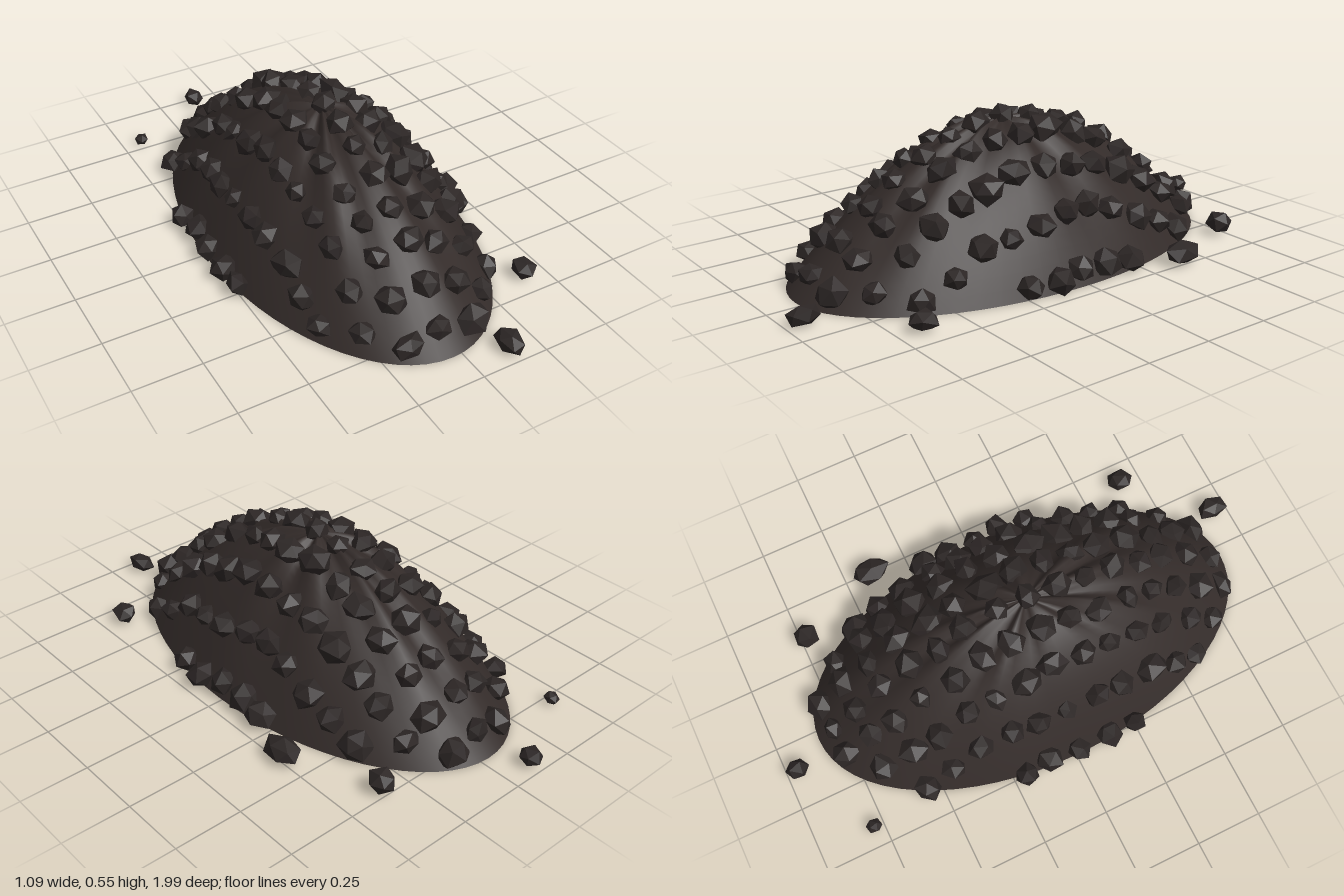
import * as THREE from 'three';
import { mergeVertices } from 'three/addons/utils/BufferGeometryUtils.js';

const CX = -0.035, CZ = 0.018, RX = 0.475, RZ = 0.86, HEIGHT = 0.5, STEP = 0.114;
const heapHeight = (r) => HEIGHT * (1 - Math.pow(r, 1.8));

let seed = 7;
function random() {
  seed = (seed * 16807) % 2147483647;
  return seed / 2147483647;
}
const spread = (amount) => (random() * 2 - 1) * amount;

// Faceted rock: an icosahedron with uneven, stretched corners, kept above the ground
function rockGeometry(rx, ry, rz, y) {
  const ico = new THREE.IcosahedronGeometry(1, 0);
  ico.deleteAttribute('uv');
  ico.deleteAttribute('normal');
  const welded = mergeVertices(ico);
  const pos = welded.attributes.position;
  const turn = new THREE.Euler(random() * 6.28, random() * 6.28, random() * 6.28);
  const v = new THREE.Vector3();
  for (let i = 0; i < pos.count; i++) {
    v.fromBufferAttribute(pos, i).applyEuler(turn).multiplyScalar(1 + spread(0.16));
    pos.setXYZ(i, v.x * rx, Math.max(v.y * ry, 0.002 - y), v.z * rz);
  }
  const rock = welded.toNonIndexed();
  rock.computeVertexNormals();
  return rock;
}

// Smooth rounded heap with shallow radial furrows
function moundGeometry() {
  const profile = [];
  for (let i = 0; i <= 20; i++) {
    const r = 1 - i / 20;
    profile.push(new THREE.Vector2(r, heapHeight(r)));
  }
  const lathe = new THREE.LatheGeometry(profile, 64);
  lathe.deleteAttribute('uv');
  lathe.deleteAttribute('normal');
  const pos = lathe.attributes.position;
  for (let i = 0; i < pos.count; i++) {
    const x = pos.getX(i), y = pos.getY(i), z = pos.getZ(i);
    const a = Math.atan2(z, x), r = Math.hypot(x, z);
    const furrow = (Math.sin(9 * a) + 0.6 * Math.sin(14 * a + 1)) * 0.03 * Math.min(1, r * 5);
    pos.setXYZ(i, x * RX, y * (1 + furrow), z * RZ);
  }
  const mound = mergeVertices(lathe, 1e-5);
  mound.computeVertexNormals();
  return mound;
}

export function createModel() {
  const group = new THREE.Group();
  const earth = new THREE.MeshStandardMaterial({ color: 0x332b29 });
  earth.name = 'dark brown heap';
  const coal = new THREE.MeshStandardMaterial({ color: 0x2c2625 });
  coal.name = 'coal black';

  const add = (name, geometry, material, x, y, z) => {
    const mesh = new THREE.Mesh(geometry, material);
    mesh.name = name;
    mesh.position.set(x, y, z);
    group.add(mesh);
    return mesh;
  };

  // Heap and its flat underside
  add('mound', moundGeometry(), earth, CX, 0, CZ);
  const base = add('moundBase', new THREE.CircleGeometry(1, 64), earth, CX, 0, CZ);
  base.rotation.x = Math.PI / 2;
  base.scale.set(RX, RZ, 1);

  // Lumps set in loose rows over the heap, larger on the left flank
  for (let i = -4; i <= 4; i++) {
    for (let j = -7; j <= 7; j++) {
      if ((i * STEP / RX) ** 2 + (j * STEP / RZ) ** 2 >= 1) continue;
      const dx = i * STEP + spread(0.012), dz = j * STEP + spread(0.012);
      const y = Math.max(heapHeight(Math.hypot(dx / RX, dz / RZ)), 0.035) + 0.008;
      const size = (i > 0 ? 0.056 : 0.05) + spread(0.006);
      const rx = size * (1 + spread(0.15)), ry = size * (0.92 + spread(0.1)), rz = size * (1 + spread(0.18));
      add('lump', rockGeometry(rx, ry, rz, y), coal, CX + dx, y, CZ + dz);
    }
  }

  // Stray lumps on the ground: x, z, half width, half depth
  const strays = [
    [-0.11, -0.955, 0.043, 0.046], [-0.425, -0.785, 0.028, 0.031],
    [0.35, -0.73, 0.054, 0.05], [0.49, -0.4, 0.053, 0.076],
    [0.41, 0.66, 0.045, 0.057], [0.145, 0.935, 0.045, 0.065],
  ];
  for (const [x, z, rx, rz] of strays) {
    const ry = rx * 0.85;
    add('strayLump', rockGeometry(rx, ry, rz, ry), coal, x, ry, z);
  }
  return group;
}
